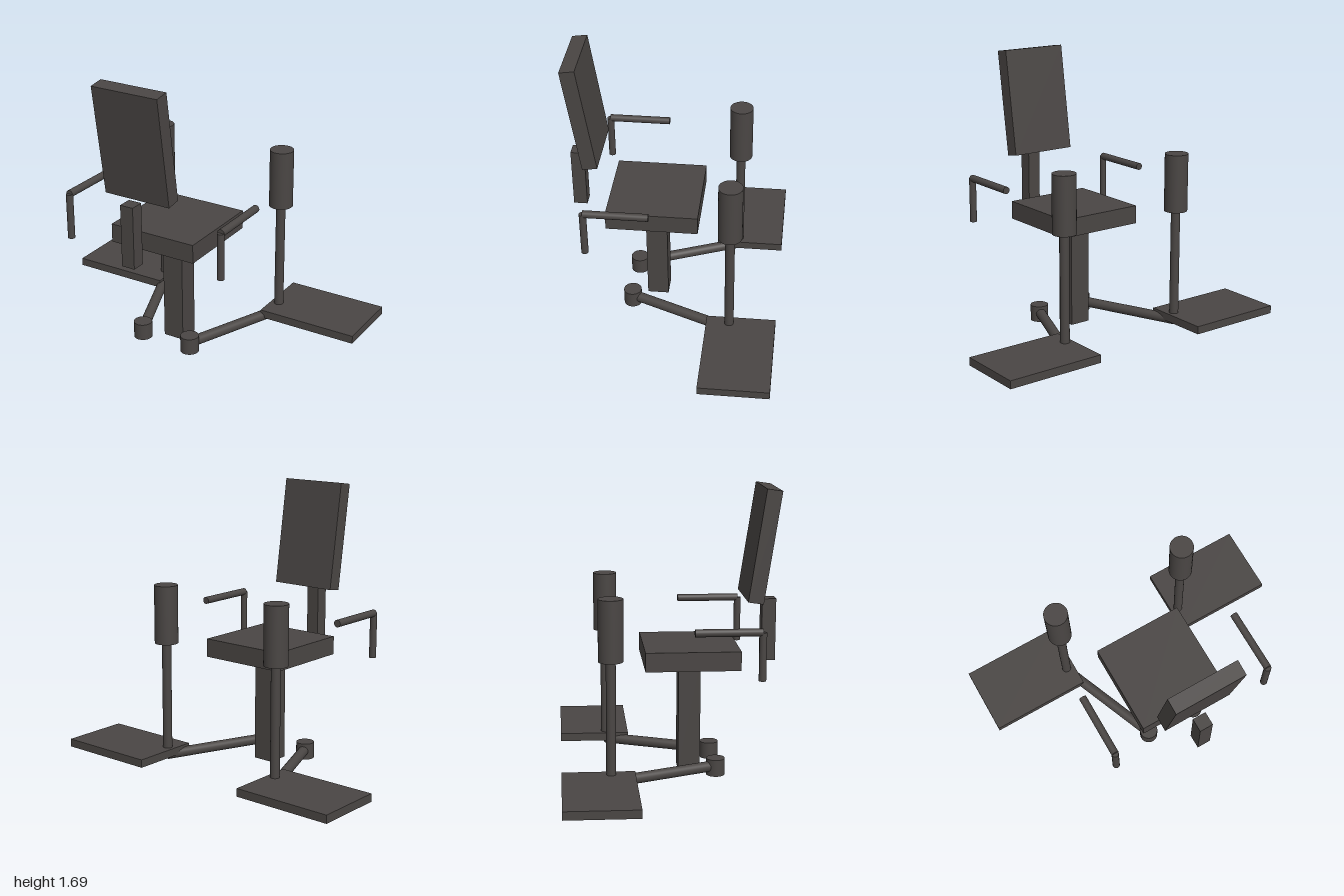
import * as THREE from 'three';

export function createModel() {
  const frame = new THREE.MeshStandardMaterial({ color: 0x4a4644 });
  frame.name = 'darkGrey';

  const model = new THREE.Group();
  model.name = 'exerciseChair';

  // Whole machine is turned about the seat post
  const machine = new THREE.Group();
  machine.name = 'machine';
  machine.position.set(-0.188, 0, 0.253);
  machine.rotation.y = -THREE.MathUtils.degToRad(20);
  model.add(machine);

  const add = (name, geometry, x, y, z) => {
    const mesh = new THREE.Mesh(geometry, frame);
    mesh.name = name;
    mesh.position.set(x, y, z);
    machine.add(mesh);
    return mesh;
  };
  const box = (name, w, h, d, x, y, z) => add(name, new THREE.BoxGeometry(w, h, d), x, y, z);

  // Round bar between two points
  const bar = (name, radius, from, to) => {
    const a = new THREE.Vector3(...from);
    const b = new THREE.Vector3(...to);
    const dir = b.clone().sub(a);
    const mid = a.clone().add(b).multiplyScalar(0.5);
    const mesh = add(name, new THREE.CylinderGeometry(radius, radius, dir.length(), 32), mid.x, mid.y, mid.z);
    mesh.quaternion.setFromUnitVectors(new THREE.Vector3(0, 1, 0), dir.normalize());
    return mesh;
  };

  // Seat, its post, and the reclined backrest on its support
  box('seatPost', 0.13, 0.655, 0.13, 0, 0.3275, 0);
  box('seat', 0.55, 0.112, 0.55, 0, 0.709, 0);
  box('backrestSupport', 0.082, 0.37, 0.082, 0, 0.84, 0.466);
  box('backrest', 0.42, 0.654, 0.09, 0, 1.355, 0.409).rotation.x = 0.147;

  for (const [side, s] of [['left', 1], ['right', -1]]) {
    // Armrest: upright and horizontal grip
    bar(side + 'ArmrestPost', 0.021, [s * 0.506, 0.655, 0.357], [s * 0.506, 0.93, 0.357]);
    bar(side + 'ArmrestGrip', 0.022, [s * 0.506, 0.93, 0.357], [s * 0.506, 0.93, -0.02]);

    // Pivot hub with swinging arm
    bar(side + 'Hub', 0.055, [s * 0.165, 0, 0.146], [s * 0.165, 0.1, 0.146]);
    bar(side + 'SwingArm', 0.031, [s * 0.165, 0.052, 0.146], [s * 0.418, 0.052, -0.479]);

    // Foot platform with leg pole and padded roller
    box(side + 'Platform', 0.617, 0.049, 0.42, s * 0.677, 0.0735, -0.55);
    bar(side + 'Pole', 0.028, [s * 0.418, 0.05, -0.479], [s * 0.418, 0.76, -0.479]);
    bar(side + 'Roller', 0.071, [s * 0.418, 0.756, -0.479], [s * 0.418, 1.111, -0.479]);
  }

  return model;
}
